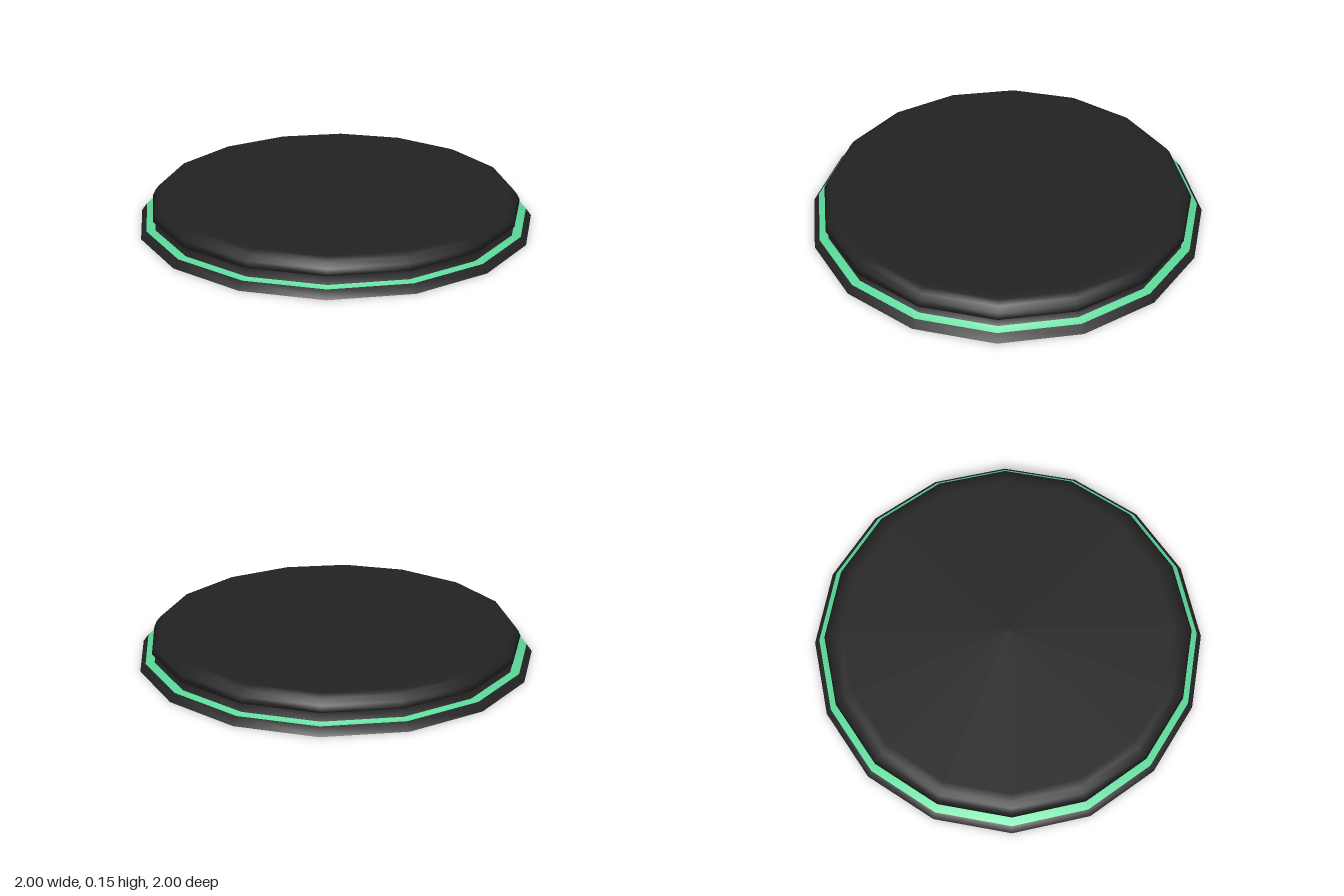
import * as THREE from 'three';

const SIDES = 16;

// Profile from the bottom rim, over the ledge and neck, to the middle of the top
const PROFILE = [
  [1.0, 0], [0.972, 0.037],               // 0-1 base skirt
  [0.928, 0.037],                         // 1-2 ledge
  [0.904, 0.083],                         // 2-3 neck
  [0.938, 0.083],                         // 3-4 underside of the cap
  [0.925, 0.11], [0.905, 0.136], [0.875, 0.148], // 4-7 rounded cap edge
  [0.84, 0.148], [0, 0.148],              // 7-9 cap top
].map(([r, y]) => new THREE.Vector2(r, y));

// One band of the turned shell, keeping the smooth normals of the whole
function band(full, from, to) {
  const n = PROFILE.length;
  const index = [];
  for (let i = 0; i < SIDES; i++) {
    for (let j = from; j < to; j++) {
      const a = i * n + j, b = a + n, c = b + 1, d = a + 1;
      index.push(a, b, d, c, d, b);
    }
  }
  const geometry = full.clone();
  geometry.setIndex(index);
  return geometry;
}

export function createModel() {
  const group = new THREE.Group();
  group.name = 'roundPlate';

  const black = new THREE.MeshStandardMaterial({ color: 0x222222, side: THREE.DoubleSide });
  black.name = 'black';
  const green = new THREE.MeshStandardMaterial({ color: 0x5ad798, side: THREE.DoubleSide });
  green.name = 'mint green';

  const shell = new THREE.LatheGeometry(PROFILE, SIDES);
  const parts = [
    ['baseSkirt', 0, 1, black],
    ['ledgeRing', 1, 2, green],
    ['neck', 2, 3, black],
    ['cap', 3, 9, black],
  ];
  for (const [name, from, to, material] of parts) {
    const mesh = new THREE.Mesh(band(shell, from, to), material);
    mesh.name = name;
    group.add(mesh);
  }
  return group;
}
